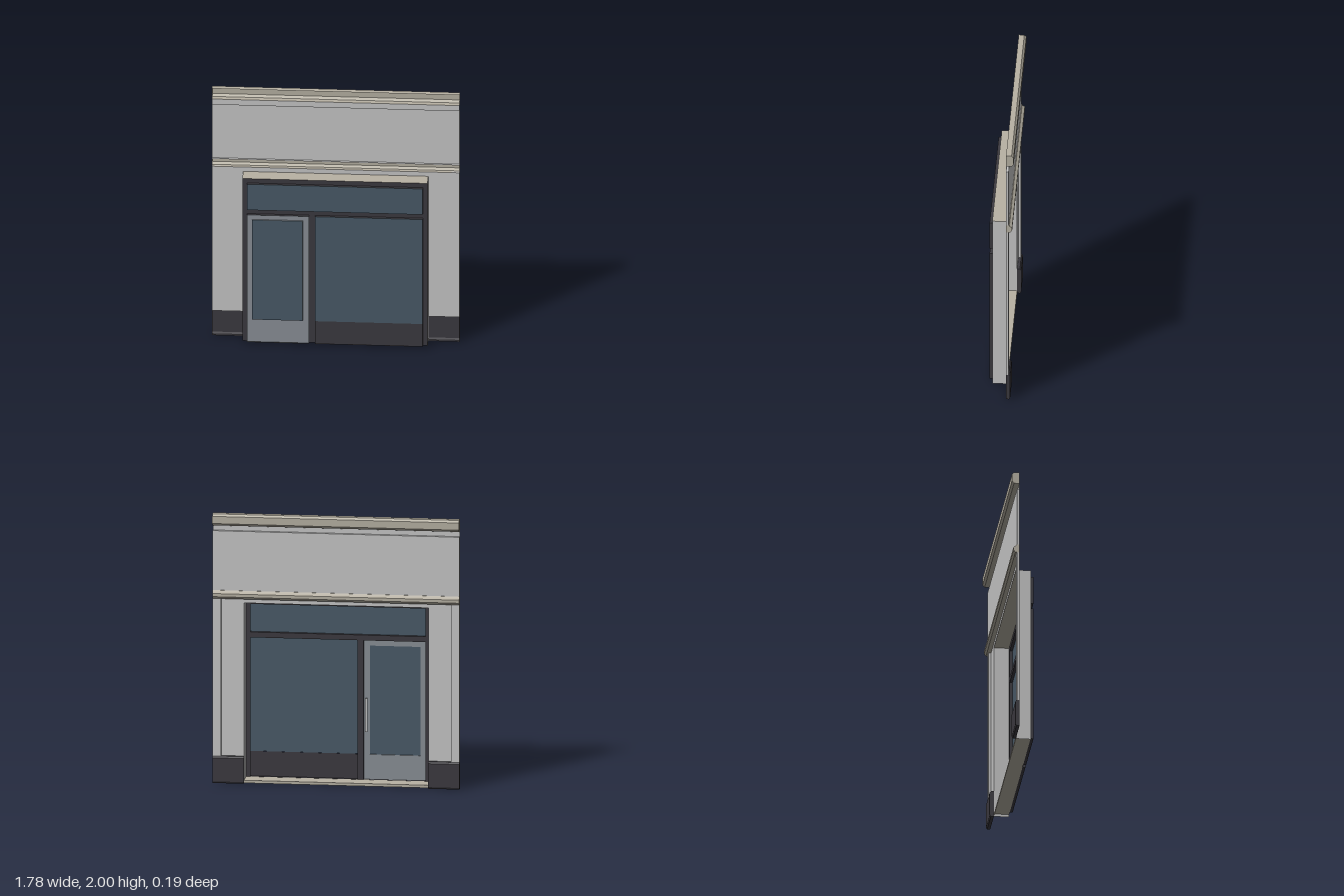
import * as THREE from 'three';

const mat = (name, color) => {
  const m = new THREE.MeshStandardMaterial({ color, side: THREE.DoubleSide });
  m.name = name;
  return m;
};

export function createModel() {
  const wall = mat('pale grey render', 0xc8c8c8);
  const stone = mat('beige stone', 0xb8b2a4);
  const dark = mat('charcoal', 0x3c3a40);
  const glass = mat('blue grey glass', 0x4a5b69);
  const silver = mat('grey door', 0x8b9198);
  const steel = mat('light steel', 0xc4c5c6);

  const W = 0.89, O = 0.665, I = 0.632; // half widths: facade, opening, glazing
  const zWall = -0.038, zFace = -0.057, zFrame = 0.072, zDoor = 0.083, zGlass = 0.093;
  const group = new THREE.Group();
  const add = (name, geo, m) => {
    const mesh = new THREE.Mesh(geo, m);
    mesh.name = name;
    group.add(mesh);
    return mesh;
  };

  // Flat-faced strip joining two rows of points
  const strip = (a, b) => {
    const pos = [];
    for (let i = 0; i < a.length - 1; i++) {
      pos.push(...a[i], ...b[i], ...b[i + 1], ...a[i], ...b[i + 1], ...a[i + 1]);
    }
    const g = new THREE.BufferGeometry();
    g.setAttribute('position', new THREE.Float32BufferAttribute(pos, 3));
    g.computeVertexNormals();
    return g;
  };
  const rect = (x0, x1, y0, y1) => [[x0, y0], [x1, y0], [x1, y1], [x0, y1]];
  // Upright sheet with optional holes
  const sheet = (name, outline, z, m, holes = []) => {
    const s = new THREE.Shape(outline.map(p => new THREE.Vector2(...p)));
    for (const h of holes) s.holes.push(new THREE.Path([...h].reverse().map(p => new THREE.Vector2(...p))));
    return add(name, new THREE.ShapeGeometry(s).translate(0, 0, z), m);
  };
  // Four returns around a rectangle between two depths
  const returns = (name, r, z0, z1, m) => {
    const loop = [...r, r[0]];
    return add(name, strip(loop.map(p => [...p, z0]), loop.map(p => [...p, z1])), m);
  };
  // Hollow moulding: [z, y] profile run along x, with end caps
  const moulding = (name, profile, x0, x1, m) => {
    add(name, strip(profile.map(([z, y]) => [x0, y, z]), profile.map(([z, y]) => [x1, y, z])), m);
    for (const x of [x0, x1]) {
      const cap = new THREE.ShapeGeometry(new THREE.Shape(profile.map(p => new THREE.Vector2(...p))));
      add(name + 'End', cap.rotateY(-Math.PI / 2).translate(x, 0, 0), m);
    }
  };

  // Wall around the opening
  sheet('wall', [[-W, 0.2], [-O, 0.2], [-O, 1.335], [O, 1.335], [O, 0.2], [W, 0.2], [W, 1.37], [-W, 1.37]], zWall, wall);

  // Raised fascia panel and the strip above it
  const fascia = rect(-W, W, 1.43, 1.87);
  sheet('fascia', fascia, zFace, wall);
  returns('fasciaEdge', fascia, zWall, zFace, wall);
  sheet('upperStrip', rect(-W, W, 1.87, 1.915), zWall, wall);

  // Cornice and lower moulding
  moulding('cornice', [[zWall, 2], [-0.078, 2], [-0.093, 1.985], [-0.093, 1.932], [-0.078, 1.915], [zWall, 1.915]], -W, W, stone);
  moulding('lowerMoulding', [[zWall, 1.43], [-0.06, 1.43], [-0.066, 1.421], [-0.082, 1.41], [-0.082, 1.387],
    [-0.068, 1.37], [zWall, 1.37]], -W, W, stone);

  for (const s of [-1, 1]) {
    // Edge pilasters and plinths
    const x0 = s > 0 ? 0.83 : -W, x1 = s > 0 ? W : -0.83;
    const p = rect(x0, x1, 0.2, 1.37);
    sheet('pilaster', p, zFace, wall);
    returns('pilasterEdge', p, zWall, zFace, wall);
    moulding('plinth', [[zWall, 0.2], [-0.058, 0.2], [-0.068, 0.188], [-0.068, 0.014], [-0.06, 0], [zWall, 0]],
      s > 0 ? O : -W, s > 0 ? W : -O, dark);
    // Side of the deep opening
    add('reveal', strip([[s * O, 0, zWall], [s * O, 1.335, zWall]], [[s * O, 0, zFrame], [s * O, 1.335, zFrame]]), wall);
  }

  // Head and sill of the opening
  add('head', strip([[-O, 1.335, zWall], [O, 1.335, zWall]], [[-O, 1.335, zFrame], [O, 1.335, zFrame]]), stone);
  add('sill', strip([[-O, 0, zWall], [-O, 0.02, zWall], [-O, 0.02, zFrame]],
    [[O, 0, zWall], [O, 0.02, zWall], [O, 0.02, zFrame]]), stone);

  // Shopfront frame with three recessed bays
  const transom = rect(-I, I, 1.092, 1.3);
  const door = rect(-I, -0.185, 0.021, 1.052);
  const bay = rect(-0.142, I, 0.021, 1.052);
  sheet('frame', rect(-O, O, 0.02, 1.335), zFrame, dark, [transom, door, bay]);
  for (const r of [transom, door, bay]) returns('frameReturn', r, zFrame, zGlass, dark);
  sheet('transomGlass', transom, zGlass, glass);
  sheet('windowGlass', rect(-0.142, I, 0.205, 1.052), zGlass, glass);
  sheet('stallPanel', rect(-0.142, I, 0.021, 0.205), zGlass - 0.002, dark);

  // Door leaf, glass and pull handle
  const pane = rect(-0.595, -0.23, 0.205, 1.012);
  sheet('doorLeaf', door, zDoor, silver, [pane]);
  returns('doorGlassEdge', pane, zDoor, zGlass, silver);
  sheet('doorGlass', pane, zGlass, glass);
  add('handle', new THREE.BoxGeometry(0.016, 0.25, 0.012).translate(-0.207, 0.505, 0.052), steel);
  for (const y of [0.41, 0.6]) {
    add('handleMount', new THREE.BoxGeometry(0.012, 0.014, 0.03).translate(-0.207, y, 0.068), steel);
  }
  return group;
}
